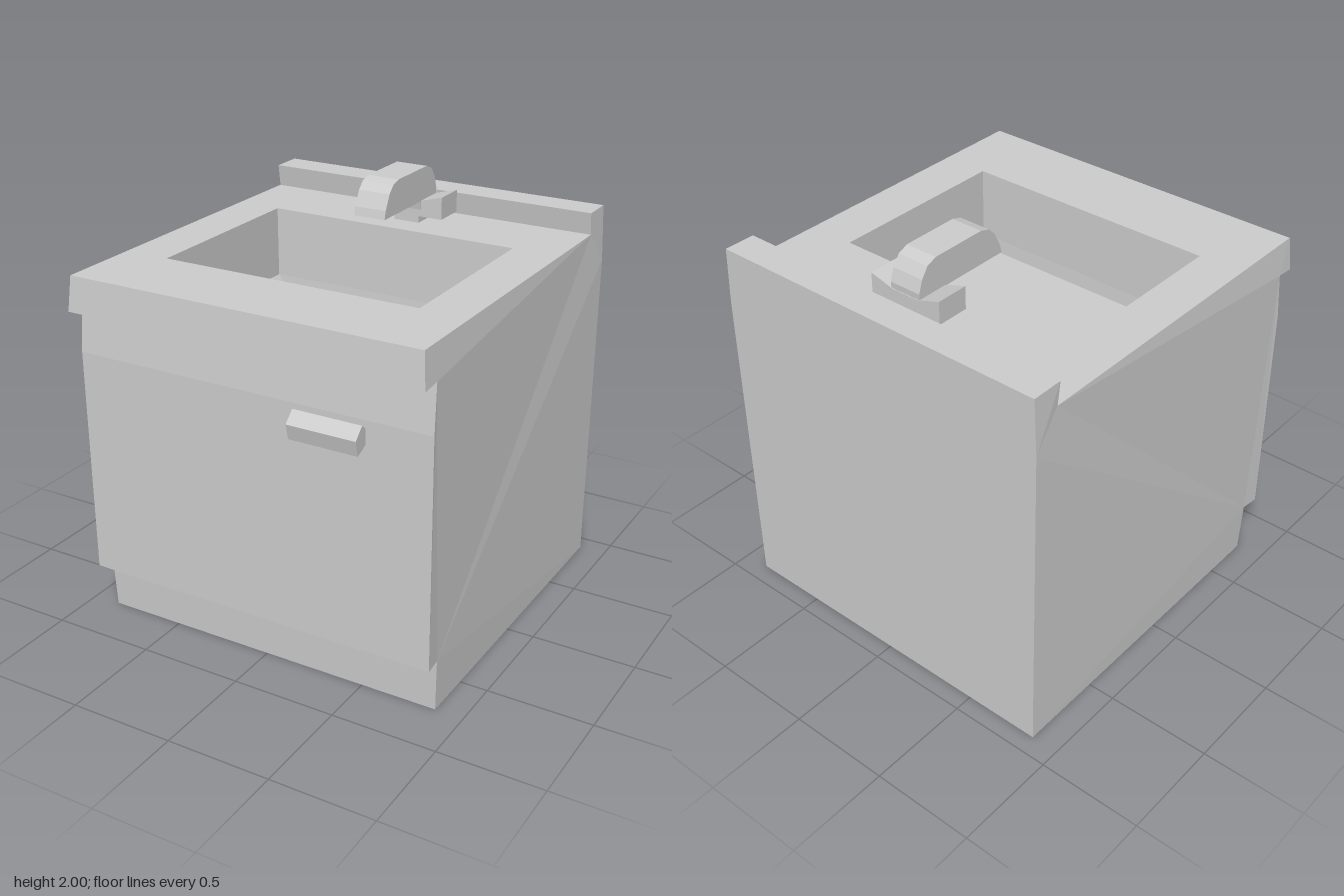
import * as THREE from 'three';

const grey = new THREE.MeshStandardMaterial({ color: 0xcccccc });
grey.name = 'plain grey';

function mesh(name, geometry) {
  const m = new THREE.Mesh(geometry, grey);
  m.name = name;
  return m;
}

// Flat-shaded geometry from a list of corner points, three per triangle
function facets(corners) {
  const g = new THREE.BufferGeometry().setFromPoints(corners);
  g.computeVertexNormals();
  return g;
}

// Extrudes a [z, y] side profile from x0 to x1
function extrudeX(profile, x0, x1) {
  const shape = new THREE.Shape(profile.map(([z, y]) => new THREE.Vector2(-z, y)));
  return new THREE.ExtrudeGeometry(shape, { depth: x1 - x0, bevelEnabled: false })
    .rotateY(Math.PI / 2).translate(x0, 0, 0);
}

// Side profile of the cabinet: z, y and half width at each corner
const CABINET = [
  [0.74, 0, 0.865], [0.75, 0.255, 0.872], [0.84, 0.255, 0.88], [0.845, 1.35, 0.88],
  [0.825, 1.575, 0.876], [0.92, 1.565, 0.874], [0.905, 1.73, 0.86], [-0.77, 1.73, 0.86],
  [-0.755, 1.838, 0.86], [-0.91, 1.838, 0.86], [-0.91, 1.57, 0.872], [-0.91, 0, 0.868],
].reverse();

function cabinetGeometry() {
  const left = CABINET.map(([z, y, w]) => new THREE.Vector3(w, y, z));
  const right = CABINET.map(([z, y, w]) => new THREE.Vector3(-w, y, z));
  const out = [];
  left.forEach((p, i) => {
    const j = (i + 1) % left.length;
    // The worktop is a separate part with the basin opening
    if (p.y === 1.73 && left[j].y === 1.73) return;
    out.push(right[i], left[j], p, right[i], right[j], left[j]);
  });
  const outline = CABINET.map(([z, y]) => new THREE.Vector2(-z, y));
  for (const [a, b, c] of THREE.ShapeUtils.triangulateShape(outline, [])) {
    out.push(left[a], left[b], left[c], right[a], right[c], right[b]);
  }
  return facets(out);
}

// Corners of a level rectangle
function ring(x0, x1, z0, z1, y) {
  return [[x0, z1], [x1, z1], [x1, z0], [x0, z0]].map(([x, z]) => new THREE.Vector3(x, y, z));
}

const BASIN = [
  ring(-0.64, 0.63, -0.4, 0.51, 1.73),
  ring(-0.635, 0.625, -0.395, 0.505, 1.39),
  ring(-0.58, 0.575, -0.39, 0.5, 1.32),
];

function basinGeometry() {
  const out = [];
  for (let k = 0; k < BASIN.length - 1; k++) {
    const a = BASIN[k], b = BASIN[k + 1];
    for (let i = 0; i < 4; i++) {
      const j = (i + 1) % 4;
      out.push(a[i], a[j], b[j], a[i], b[j], b[i]);
    }
  }
  const f = BASIN[BASIN.length - 1];
  out.push(f[0], f[1], f[2], f[0], f[2], f[3]);
  return facets(out);
}

function worktopGeometry() {
  const flat = (points) => points.map((p) => new THREE.Vector2(p.x, -p.z));
  const shape = new THREE.Shape(flat(ring(-0.86, 0.86, -0.77, 0.905, 0)));
  shape.holes.push(new THREE.Path(flat(BASIN[0])));
  return new THREE.ShapeGeometry(shape).rotateX(-Math.PI / 2).translate(0, 1.73, 0);
}

function createFaucet() {
  const faucet = new THREE.Group();
  faucet.name = 'faucet';

  // Hooked spout
  faucet.add(mesh('spout', extrudeX([
    [-0.17, 1.84], [-0.18, 1.88], [-0.215, 1.95], [-0.25, 1.985], [-0.3, 2], [-0.58, 2],
    [-0.63, 1.98], [-0.665, 1.93], [-0.685, 1.87], [-0.68, 1.78], [-0.53, 1.78], [-0.52, 1.84],
  ], -0.07, 0.09)));

  // Short post under the spout
  const post = new THREE.BoxGeometry(0.13, 0.06, 0.14);
  post.translate(0.01, 1.755, -0.605);
  faucet.add(mesh('post', post));

  // Tap bar, pinched towards the middle
  const bar = new THREE.Shape([
    [-0.18, 1.77], [-0.06, 1.765], [0.08, 1.765], [0.2, 1.765],
    [0.2, 1.873], [0.08, 1.84], [-0.06, 1.84], [-0.18, 1.88],
  ].map(([x, y]) => new THREE.Vector2(x, y)));
  const barGeometry = new THREE.ExtrudeGeometry(bar, { depth: 0.16, bevelEnabled: false });
  faucet.add(mesh('tapBar', barGeometry.translate(0, 0, -0.687)));
  return faucet;
}

export function createModel() {
  const model = new THREE.Group();
  model.name = 'sinkCabinet';
  model.add(mesh('cabinet', cabinetGeometry()));
  model.add(mesh('worktop', worktopGeometry()));
  model.add(mesh('basin', basinGeometry()));
  model.add(mesh('doorHandle', extrudeX([
    [0.84, 1.24], [0.905, 1.212], [0.922, 1.285], [0.87, 1.335], [0.84, 1.31],
  ], 0.24, 0.57)));
  model.add(createFaucet());
  return model;
}
